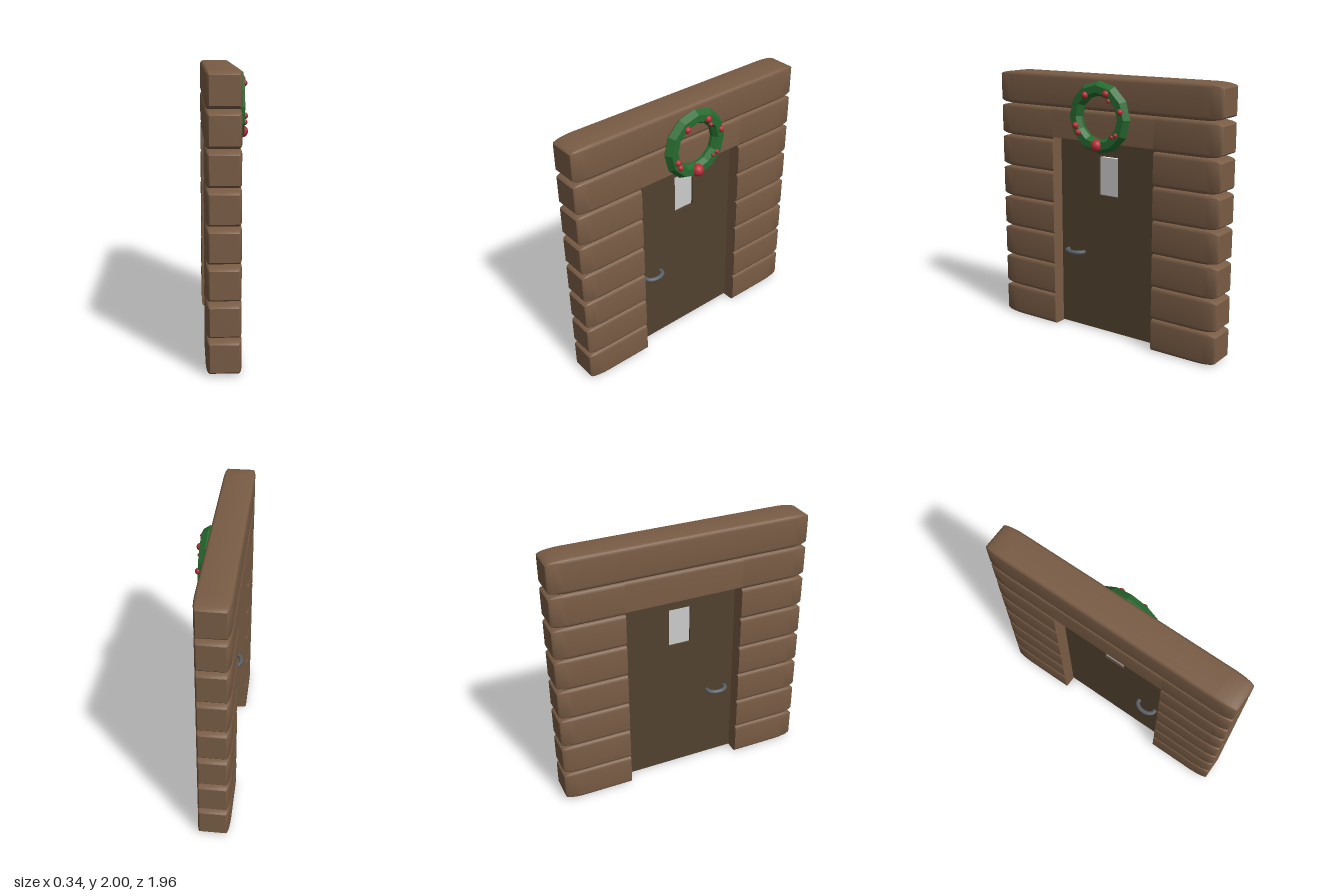
import * as THREE from 'three';
import { toCreasedNormals } from 'three/addons/utils/BufferGeometryUtils.js';

const mat = (color, flatShading = false) => new THREE.MeshStandardMaterial({ color, flatShading });
const wood = mat(0x795c45), doorWood = mat(0x52412f), green = mat(0x266b30, true);
const red = mat(0xb52c36), metal = mat(0x5a6065), grey = mat(0xcccccc);

const BACK = -0.17, FRONT = 0.07, END = 0.98, LOG = 0.25;
const OPEN_LEFT = 0.455, OPEN_RIGHT = -0.45, OPEN_TOP = 1.52;

function add(parent, name, geometry, material) {
  const mesh = new THREE.Mesh(geometry, material);
  mesh.name = name;
  parent.add(mesh);
  return mesh;
}

// Rounded log cross-section at one z; inset 0 is full size, 1 is the end face
function section(z, y0, y1, inset, squareBottom) {
  const bx = 0.025, by = 0.03, points = [];
  const corners = [[1, 1], [-1, 1], [-1, -1], [1, -1]];
  corners.forEach(([sx, sy], q) => {
    const round = squareBottom && sy < 0 ? 0 : 1;
    for (let i = 0; i <= 4; i++) {
      const a = (q + i / 4) * Math.PI / 2;
      const k = 1 - inset;
      const x = (sx > 0 ? FRONT : BACK) - round * (sx * bx - Math.cos(a) * bx * k);
      const y = (sy > 0 ? y1 : y0) - round * (sy * by - Math.sin(a) * by * k);
      points.push([x, y, z]);
    }
  });
  return points;
}

// Log lofted along z; an end is either softly tapered or cut flat
function logGeometry(z0, z1, y0, y1, taper0, taper1, squareBottom = false) {
  const rings = [], steps = 5, reach = 0.16;
  const ring = (z, inset) => rings.push(section(z, y0, y1, inset, squareBottom));
  const taper = (i) => {
    const a = i / steps * Math.PI / 2;
    return [reach * (1 - Math.sin(a)), 1 - Math.sin(Math.acos(1 - Math.sin(a)))];
  };
  const ease = (i) => {
    const a = i / steps * Math.PI / 2;
    return [reach * (1 - Math.sin(a)), 1 - Math.cos(a)];
  };
  if (taper0) for (let i = steps; i >= 0; i--) ring(z0 + ease(i)[0], ease(i)[1]);
  else ring(z0, 0);
  if (taper1) for (let i = 0; i <= steps; i++) ring(z1 - ease(i)[0], ease(i)[1]);
  else ring(z1, 0);

  const n = rings[0].length, index = [];
  const positions = rings.flat(2);
  for (let i = 0; i < rings.length - 1; i++) {
    for (let j = 0; j < n; j++) {
      const k = (j + 1) % n;
      const a = i * n + j, b = i * n + k, c = b + n, d = a + n;
      index.push(a, b, c, a, c, d);
    }
  }
  // End caps
  const mid = rings.length * n, last = mid - n;
  const cx = (BACK + FRONT) / 2, cy = (y0 + y1) / 2;
  positions.push(cx, cy, z0, cx, cy, z1);
  for (let j = 0; j < n; j++) {
    const k = (j + 1) % n;
    index.push(mid, k, j, mid + 1, last + j, last + k);
  }
  const g = new THREE.BufferGeometry();
  g.setAttribute('position', new THREE.Float32BufferAttribute(positions, 3));
  g.setIndex(index);
  return toCreasedNormals(g, 0.6);
}

function createWall() {
  const wall = new THREE.Group();
  wall.name = 'logWall';
  for (let i = 0; i < 8; i++) {
    const y0 = i * LOG, y1 = y0 + LOG;
    if (y0 >= OPEN_TOP) {
      add(wall, 'fullLog', logGeometry(-END, END, y0, y1, true, true), wood);
      continue;
    }
    add(wall, 'leftLog', logGeometry(OPEN_LEFT, END, y0, y1, false, true), wood);
    add(wall, 'rightLog', logGeometry(-END, OPEN_RIGHT, y0, y1, true, false), wood);
    // Log notched by the top of the doorway
    if (y1 > OPEN_TOP)
      add(wall, 'headerLog', logGeometry(OPEN_RIGHT, OPEN_LEFT, OPEN_TOP, y1, false, false, true), wood);
  }
  return wall;
}

function rectangle(path, x0, x1, y0, y1) {
  path.moveTo(x0, y0).lineTo(x1, y0).lineTo(x1, y1).lineTo(x0, y1).closePath();
  return path;
}

function createDoor() {
  const door = new THREE.Group();
  door.name = 'door';
  const front = -0.03, thick = 0.04;

  // Panel with a window opening
  const shape = rectangle(new THREE.Shape(), OPEN_RIGHT, 0.448, 0.01, OPEN_TOP);
  shape.holes.push(rectangle(new THREE.Path(), -0.085, 0.085, 1.1, 1.4));
  const panel = new THREE.ExtrudeGeometry(shape, { depth: thick, bevelEnabled: false });
  panel.rotateY(-Math.PI / 2).translate(front, 0, 0);
  add(door, 'doorPanel', panel, doorWood);
  add(door, 'windowPane', new THREE.BoxGeometry(0.012, 0.29, 0.17), grey)
    .position.set(front - thick / 2, 1.245, 0);

  // Bowed pull handle on each face
  for (const side of [1, -1]) {
    const x = side > 0 ? front : front - thick;
    const curve = new THREE.CatmullRomCurve3(
      [[-0.005, 0.385], [0.03, 0.38], [0.055, 0.345], [0.06, 0.31], [0.055, 0.275], [0.03, 0.24], [-0.005, 0.235]]
        .map(([out, z]) => new THREE.Vector3(x + side * out, 0.62, z)));
    add(door, side > 0 ? 'frontHandle' : 'backHandle', new THREE.TubeGeometry(curve, 20, 0.017, 8), metal);
  }
  return door;
}

function createWreath() {
  const wreath = new THREE.Group();
  wreath.name = 'wreath';
  // Faceted ring, axis along x
  const profile = [[0.16, 0.07], [0.255, 0.07], [0.267, 0.085], [0.237, 0.132], [0.185, 0.132], [0.16, 0.095], [0.16, 0.07]]
    .map(([r, h]) => new THREE.Vector2(r, h));
  const ring = new THREE.LatheGeometry(profile, 12).rotateZ(-Math.PI / 2);
  add(wreath, 'wreathRing', ring, green);

  // Berries: z, y from the ring centre, radius
  const berries = [
    [0, -0.2, 0.045], [0.1, 0.16, 0.026], [-0.085, 0.18, 0.026], [-0.11, 0.13, 0.016], [-0.207, 0.06, 0.023],
    [0.186, -0.066, 0.025], [0.163, -0.115, 0.023], [-0.17, -0.11, 0.018], [-0.137, -0.125, 0.014],
  ];
  for (const [z, y, r] of berries)
    add(wreath, 'berry', new THREE.SphereGeometry(r, 16, 12), red).position.set(r > 0.04 ? 0.125 : 0.13, y, z);
  wreath.position.y = 1.707;
  return wreath;
}

export function createModel() {
  const model = new THREE.Group();
  model.name = 'logWallWithDoor';
  model.add(createWall(), createDoor(), createWreath());
  return model;
}
